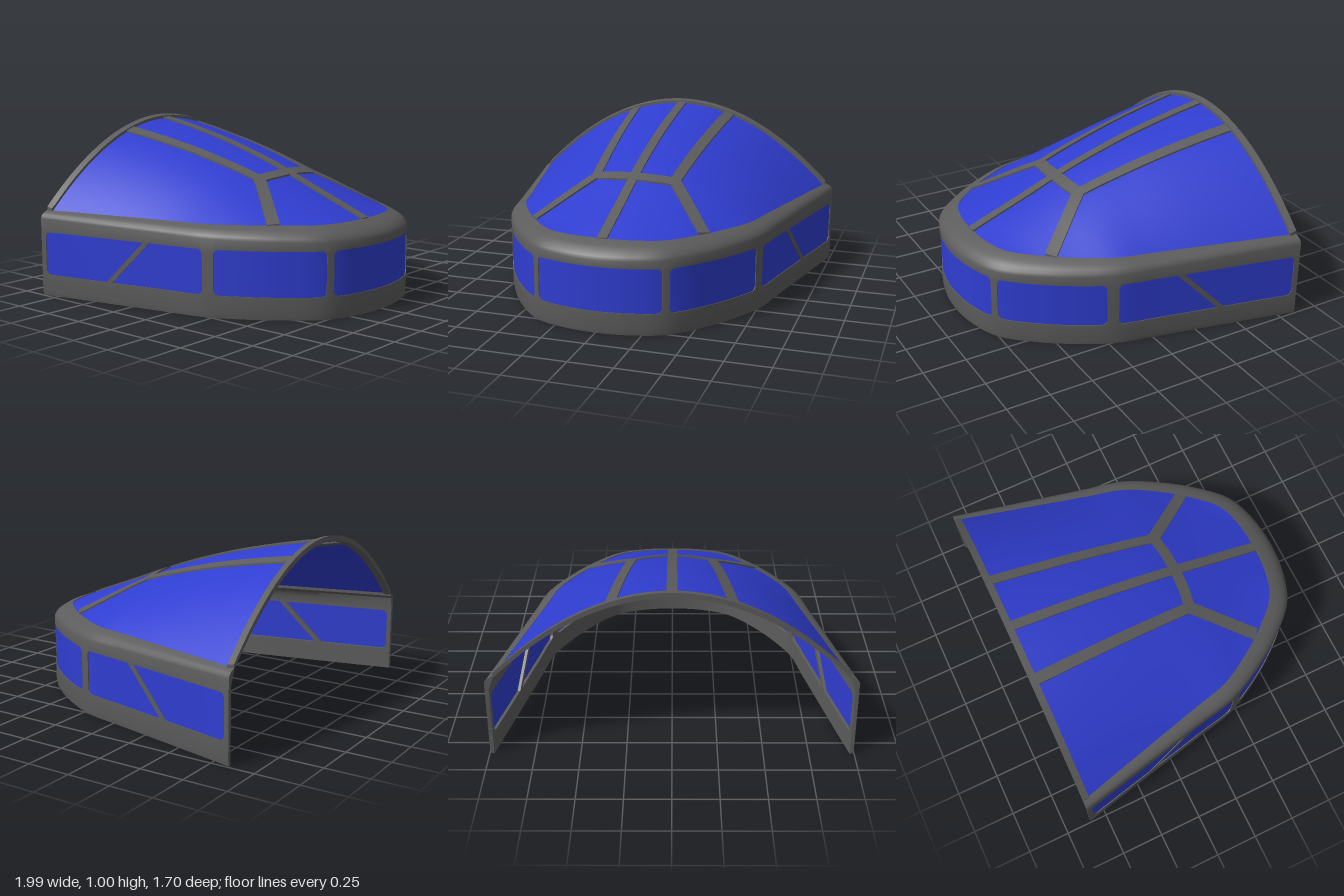
import * as THREE from 'three';
import { toCreasedNormals } from 'three/addons/utils/BufferGeometryUtils.js';

const V = (x, y, z) => new THREE.Vector3(x, y, z);
const range = (a, b, n) => Array.from({ length: n + 1 }, (_, i) => a + (b - a) * i / n);

// Linear lookup in a list of [key, value] pairs with rising keys
function lookup(table, key) {
  let i = 1;
  while (i < table.length - 1 && table[i][0] < key) i++;
  const [a, b] = [table[i - 1], table[i]];
  const f = b[0] === a[0] ? 0 : THREE.MathUtils.clamp((key - a[0]) / (b[0] - a[0]), 0, 1);
  return a[1] + (b[1] - a[1]) * f;
}

// Plan outline, from the right rear corner round the nose to the left rear corner
const half = [[0.2, 0.826], [0.385, 0.755], [0.56, 0.57], [0.695, 0.36], [0.77, 0.2],
  [0.822, -0.04], [0.882, -0.32], [0.942, -0.6], [0.997, -0.85]];
const outline = new THREE.CatmullRomCurve3([
  ...half.slice().reverse().map(([x, z]) => V(-x, 0, z)), V(0, 0, 0.848), ...half.map(([x, z]) => V(x, 0, z))]);
outline.arcLengthDivisions = 800;
const L = outline.getLength() / 2;

// Point at distance s from the nose, moved inwards by d, at height y
function wallPoint(s, d, y) {
  const u = THREE.MathUtils.clamp((s + L) / (2 * L), 0, 1);
  const p = outline.getPointAt(u), t = outline.getTangentAt(u);
  return V(p.x + t.z * d, y, Math.max(p.z - t.x * d, -0.85));
}
const shoulder = s => 0.042 + 0.083 * (1 - Math.abs(s) / L);
const steps = range(0, L, 300).map(s => [s, wallPoint(s, 0, 0)]);
const sAtX = x => lookup(steps.map(([s, p]) => [p.x, s]), x);
const sAtZ = z => lookup(steps.map(([s, p]) => [-p.z, s]), -z);

// Canopy surface: a crown line along z, and arched sections across
const base = 0.49;
const rim = range(L, 0, 300).map(s => wallPoint(s, shoulder(s), 0)).map(p => [p.z, Math.max(p.x, 0)]);
const crown = new THREE.SplineCurve([[-0.85, 0.977], [-0.6, 0.93], [-0.3, 0.86], [0, 0.77], [0.2, 0.697],
  [0.4, 0.617], [0.6, 0.54], [0.725, base]].map(([z, y]) => new THREE.Vector2(z, y)))
  .getPoints(80).map(p => [p.x, p.y]);
function canopyY(x, z) {
  const w = Math.max(lookup(rim, z), 0.001);
  return base + (lookup(crown, z) - base) * Math.max(0, 1 - (x / w) ** 2);
}

// Indexed grid from rows of points
function grid(rows, closed) {
  const n = rows[0].length, index = [];
  for (let i = 0; i < rows.length - 1; i++) {
    for (let j = 0; j < (closed ? n : n - 1); j++) {
      const a = i * n + j, b = i * n + (j + 1) % n;
      index.push(a, b, a + n, b, b + n, a + n);
    }
  }
  if (closed) {
    const e = (rows.length - 1) * n;
    for (let j = 1; j < n - 1; j++) index.push(0, j + 1, j, e, e + j, e + j + 1);
  }
  const pts = rows.flat();
  if (closed) { // turn the faces outwards
    let volume = 0;
    for (let i = 0; i < index.length; i += 3) {
      const [a, b, c] = [0, 1, 2].map(k => pts[index[i + k]]);
      volume += a.dot(b.clone().cross(c));
    }
    if (volume < 0) index.reverse();
  }
  const g = new THREE.BufferGeometry().setFromPoints(pts);
  g.setIndex(index);
  g.computeVertexNormals();
  return g;
}

export function createModel() {
  const model = new THREE.Group();
  model.name = 'cockpitCanopy';
  const frame = new THREE.MeshStandardMaterial({ color: 0x5c5c5c });
  const glass = new THREE.MeshStandardMaterial({ color: 0x2f3dd0, side: THREE.DoubleSide });
  const add = (name, geometry, material) => {
    const mesh = new THREE.Mesh(geometry, material);
    mesh.name = name;
    model.add(mesh);
  };
  const solid = (name, rings) => add(name, toCreasedNormals(grid(rings, true), 0.6), frame);

  const thick = 0.022, low = 0.125, high = 0.375, radius = 0.03;
  const stations = range(-L, L, 420);

  // Window openings, as distances from the nose
  const f = sAtX(0.355);
  const windows = [[-f, f], [sAtX(0.39), sAtZ(0.26)], [sAtZ(0.2), sAtZ(-0.82)]];
  // Extra frame height that rounds the window corners
  function lift(s) {
    const q = s < -f ? -s : s;
    const w = windows.find(([a, b]) => q > a && q < b);
    const d = w ? Math.min(q - w[0], w[1] - q) : 0;
    return d >= radius ? 0 : radius - Math.sqrt(radius ** 2 - (radius - d) ** 2);
  }

  // Lower wall
  solid('lowerWall', stations.map(s => {
    const y = low + lift(s);
    return [[0.006, 0], [0, 0.03], [0, y], [thick, y], [thick, 0]].map(([d, h]) => wallPoint(s, d, h));
  }));

  // Upper wall with the rounded shoulder, which is tighter towards the rear
  solid('shoulder', stations.map(s => {
    const y = high - lift(s), m = shoulder(s), k = 0.04 * Math.abs(s) / L;
    return [[0, y], [0, 0.412 + k], [0.08 * m, 0.432 + 0.8 * k], [0.25 * m, 0.453 + 0.55 * k],
      [0.55 * m, 0.476 + 0.2 * k], [m + 0.004, 0.496], [m + 0.004, 0.476],
      [Math.max(0.6 * m, thick), 0.458], [thick, 0.425], [thick, y]].map(([d, h]) => wallPoint(s, d, h));
  }));

  // Posts between the windows and the slanted side bars
  for (const side of [-1, 1]) {
    const label = side > 0 ? 'left' : 'right';
    const posts = [[f, windows[1][0]], [windows[1][1], windows[2][0]], [windows[2][1], L]];
    for (const [a, b] of posts) {
      solid(label + 'Post', range(a, b, 6).map(s =>
        [[0, low], [0, high], [thick, high], [thick, low]].map(([d, y]) => wallPoint(side * s, d, y))));
    }
    solid(label + 'SlantedBar', range(0, 1, 4).map(t => {
      const s = sAtZ(-0.147 - 0.243 * t), y = high - (high - low) * t;
      return [[-0.02, 0], [0.02, 0], [0.02, thick], [-0.02, thick]].map(([o, d]) => wallPoint(side * (s + o), d, y));
    }));
  }

  // Window glass, almost flush with the wall
  add('wallGlass', grid(range(-L, L, 160).map(s =>
    [low - 0.01, high + 0.01].map(y => wallPoint(s, 0.005, y)))), glass);

  // Canopy glass
  add('canopyGlass', grid(range(0, 1, 60).map(v => {
    const z = -0.845 + 1.565 * Math.sin(v * Math.PI / 2), w = lookup(rim, z);
    return range(-1, 1, 48).map(t => V(t * w, canopyY(t * w, z), z));
  })), glass);

  // Flat bar that follows the canopy along a path of [x, z] points
  function bar(name, path, width, n = 30, up = 0.01, down = 0.01) {
    const curve = new THREE.CurvePath();
    for (let i = 1; i < path.length; i++) {
      curve.add(new THREE.LineCurve(new THREE.Vector2(...path[i - 1]), new THREE.Vector2(...path[i])));
    }
    solid(name, range(0, 1, n).map(u => {
      const p = curve.getPointAt(u);
      const t = curve.getPointAt(Math.min(1, u + 0.01)).sub(curve.getPointAt(Math.max(0, u - 0.01))).normalize();
      return [[-1, up], [1, up], [1, -down], [-1, -down]].map(([k, h]) => {
        const x = p.x - t.y * k * width / 2, z = p.y + t.x * k * width / 2;
        return V(x, canopyY(x, z) + h, z);
      });
    }));
  }
  bar('centreBar', [[0, -0.83], [0, 0.725]], 0.056, 40);
  bar('crossBar', [[-0.245, 0.16], [-0.12, 0.178], [0, 0.182], [0.12, 0.178], [0.245, 0.16]], 0.064);
  for (const side of [-1, 1]) {
    const label = side > 0 ? 'left' : 'right';
    bar(label + 'RoofBar', [[side * 0.318, -0.83], [side * 0.238, 0.17]], 0.06);
    bar(label + 'FrontBar', [[side * 0.228, 0.145], [side * 0.5, 0.475]], 0.07);
  }

  // Arch round the open rear edge
  const arch = lookup(rim, -0.83);
  bar('rearArch', [[-arch, -0.83], [arch, -0.83]], 0.04, 60, 0.018, 0.012);

  return model;
}
